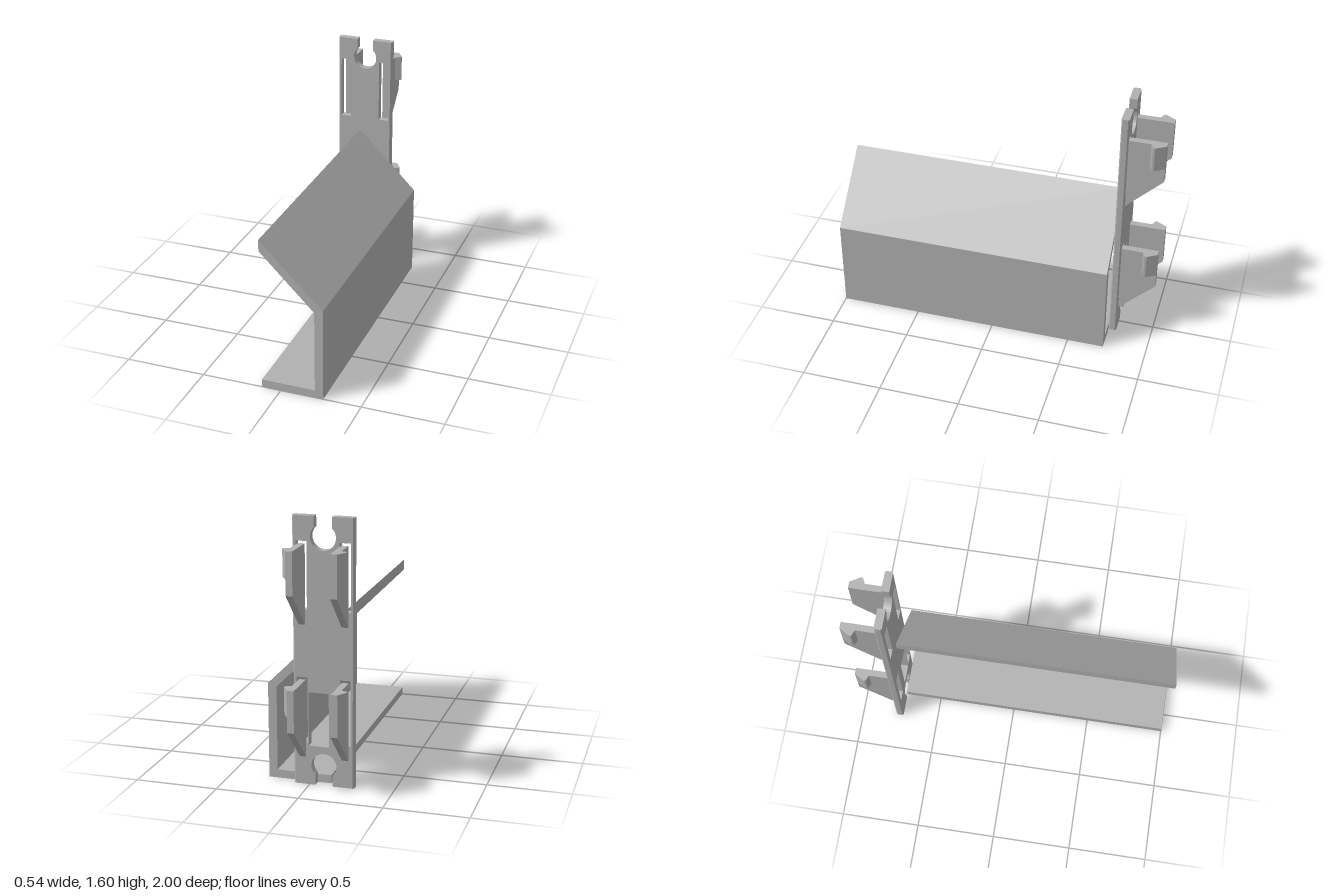
import * as THREE from 'three';

const grey = new THREE.MeshStandardMaterial({ color: 0xb0b0b0 });
grey.name = 'grey plastic';

const CX = -0.0875;                 // plate centre line
const BACK = -0.778, FRONT = -0.73; // plate faces in z

const polygon = (pts) => new THREE.Shape(pts.map(([x, y]) => new THREE.Vector2(x, y)));

const extrude = (shape, depth) =>
  new THREE.ExtrudeGeometry(shape, { depth, bevelEnabled: false, curveSegments: 40 });

export function createModel() {
  const model = new THREE.Group();
  model.name = 'clipOnTrough';

  const add = (name, geometry) => {
    const mesh = new THREE.Mesh(geometry, grey);
    mesh.name = name;
    model.add(mesh);
  };

  // Trough: base, side wall and sloping lip in one profile
  const trough = extrude(polygon([
    [-0.118, 0], [0.267, 0], [0.267, 0.585], [-0.118, 0.97],
    [-0.118, 0.9], [0.215, 0.566], [0.215, 0.05], [-0.118, 0.05],
  ]), 1 - FRONT);
  trough.translate(0, 0, FRONT);
  add('trough', trough);

  // Mounting plate with a keyhole notch at each end
  const half = 0.174, neck = 0.053, r = 0.076;
  const a = Math.acos(neck / r);
  const plate = new THREE.Shape();
  plate.moveTo(CX - half, 0);
  plate.lineTo(CX - neck, 0);
  plate.absarc(CX, 0.12, r, Math.PI + a, -a, true);
  plate.lineTo(CX + neck, 0);
  plate.lineTo(CX + half, 0);
  plate.lineTo(CX + half, 1.6);
  plate.lineTo(CX + neck, 1.6);
  plate.absarc(CX, 1.48, r, a, Math.PI - a, true);
  plate.lineTo(CX - neck, 1.6);
  plate.lineTo(CX - half, 1.6);
  plate.closePath();

  // Window and clip slots
  const hole = (x0, x1, y0, y1) =>
    plate.holes.push(polygon([[x0, y0], [x0, y1], [x1, y1], [x1, y0]]));
  hole(-0.118, 0.004, 0.24, 0.566);
  for (const base of [0, 0.8]) {
    hole(CX - 0.162, CX - 0.097, base + 0.258, base + 0.655);
    hole(CX + 0.097, CX + 0.162, base + 0.258, base + 0.655);
  }
  const plateGeometry = extrude(plate, FRONT - BACK);
  plateGeometry.translate(0, 0, BACK);
  add('mountingPlate', plateGeometry);

  for (const side of [-1, 1]) {
    const x = (d) => CX + side * d;

    // Chamfered long edge of the plate
    const edge = extrude(polygon([
      [x(half), -BACK], [x(0.182), -BACK - 0.008],
      [x(0.182), -FRONT + 0.008], [x(half), -FRONT],
    ]), 1.6);
    edge.rotateX(-Math.PI / 2);
    add('plateEdge', edge);

    for (const base of [0, 0.8]) {
      // Clip arm with a sloping underside
      const arm = extrude(polygon([
        [-BACK - 0.004, base + 0.165], [1, base + 0.388],
        [1, base + 0.64], [-BACK - 0.004, base + 0.64],
      ]), 0.04);
      arm.rotateY(Math.PI / 2);
      arm.translate(x(0.128) - 0.02, 0, 0);
      add('clipArm', arm);

      // Barb on the outer face of the arm
      const barb = extrude(polygon([
        [x(0.146), 0.908], [x(0.185), 0.925], [x(0.185), 0.938], [x(0.148), 1], [x(0.146), 1],
      ]), 0.16);
      barb.rotateX(-Math.PI / 2);
      barb.translate(0, base + 0.48, 0);
      add('clipBarb', barb);
    }
  }
  return model;
}
